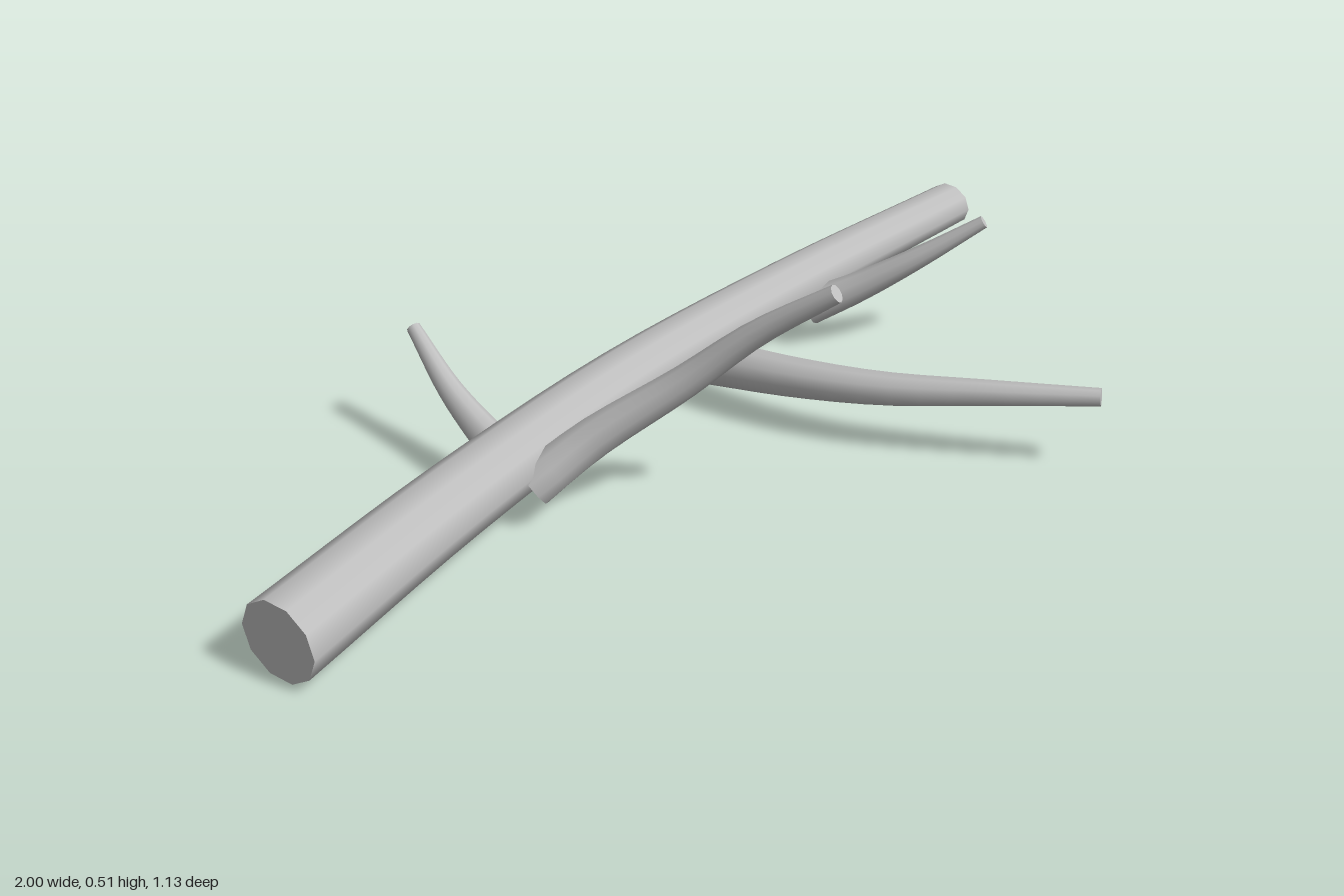
import * as THREE from 'three';

// Tapered limb: elliptical rings along a smooth curve, closed at both ends
function limbGeometry(points, r0, r1, { sides = 10, steps = 14, squash = 1, squareEnds = false } = {}) {
  const curve = new THREE.CatmullRomCurve3(points.map((p) => new THREE.Vector3(...p)));
  const up = new THREE.Vector3(0, 1, 0);
  const pos = [], nor = [], idx = [];
  const push = (p, n) => pos.push(p.x, p.y, p.z) && nor.push(n.x, n.y, n.z);
  const rings = [];

  for (let j = 0; j <= steps; j++) {
    const t = j / steps;
    const c = curve.getPointAt(t);
    const T = squareEnds ? new THREE.Vector3(1, 0, 0) : curve.getTangentAt(t);
    const u = new THREE.Vector3().crossVectors(T, up).normalize();
    const v = new THREE.Vector3().crossVectors(u, T);
    const r = THREE.MathUtils.lerp(r0, r1, t);
    const ring = [];
    for (let i = 0; i <= sides; i++) {
      const a = (i / sides) * Math.PI * 2;
      const p = c.clone().addScaledVector(u, r * Math.cos(a)).addScaledVector(v, r * squash * Math.sin(a));
      const n = u.clone().multiplyScalar(Math.cos(a) * squash).addScaledVector(v, Math.sin(a)).normalize();
      push(p, n);
      ring.push(p);
    }
    rings.push({ c, T, ring });
  }

  // Bark surface
  const w = sides + 1;
  for (let j = 0; j < steps; j++) {
    for (let i = 0; i < sides; i++) {
      const a = j * w + i, b = a + w;
      idx.push(a, b, a + 1, b, b + 1, a + 1);
    }
  }

  // Flat cut ends
  for (const [{ c, T, ring }, isEnd] of [[rings[0], false], [rings[steps], true]]) {
    const n = T.clone().multiplyScalar(isEnd ? 1 : -1);
    const k = pos.length / 3;
    push(c, n);
    ring.forEach((p) => push(p, n));
    for (let i = 1; i <= sides; i++) {
      if (isEnd) idx.push(k, k + i + 1, k + i);
      else idx.push(k, k + i, k + i + 1);
    }
  }

  const g = new THREE.BufferGeometry();
  g.setAttribute('position', new THREE.Float32BufferAttribute(pos, 3));
  g.setAttribute('normal', new THREE.Float32BufferAttribute(nor, 3));
  g.setIndex(idx);
  return g;
}

export function createModel() {
  const model = new THREE.Group();
  model.name = 'branch';
  const wood = new THREE.MeshStandardMaterial({ color: 0xbfbfbf });
  wood.name = 'grey wood';

  const add = (name, ...args) => {
    const mesh = new THREE.Mesh(limbGeometry(...args), wood);
    mesh.name = name;
    model.add(mesh);
  };

  // Main limb, gently bowed towards the back
  add('mainLimb',
    [[-1, 0.08, -0.17], [-0.5, 0.107, -0.212], [0, 0.125, -0.23], [0.5, 0.13, -0.208], [1, 0.123, -0.17]],
    0.09, 0.049, { squash: 0.91, steps: 20, squareEnds: true });

  // Side twigs
  add('tallTwig',
    [[-0.345, 0.08, -0.165], [-0.25, 0.16, -0.1], [-0.135, 0.275, 0.025], [-0.06, 0.39, 0.14], [0, 0.497, 0.278]],
    0.046, 0.018);
  add('longTwig',
    [[0.21, 0.085, -0.19], [0.235, 0.108, 0], [0.285, 0.127, 0.18], [0.37, 0.146, 0.36], [0.478, 0.16, 0.556]],
    0.048, 0.018);
  add('shortTwig',
    [[0.515, 0.08, -0.175], [0.57, 0.13, -0.095], [0.635, 0.2, 0], [0.72, 0.287, 0.107]],
    0.038, 0.013);
  add('backTwig',
    [[-0.325, 0.1, -0.25], [-0.3, 0.118, -0.34], [-0.275, 0.155, -0.44], [-0.243, 0.231, -0.56]],
    0.038, 0.014);

  return model;
}
